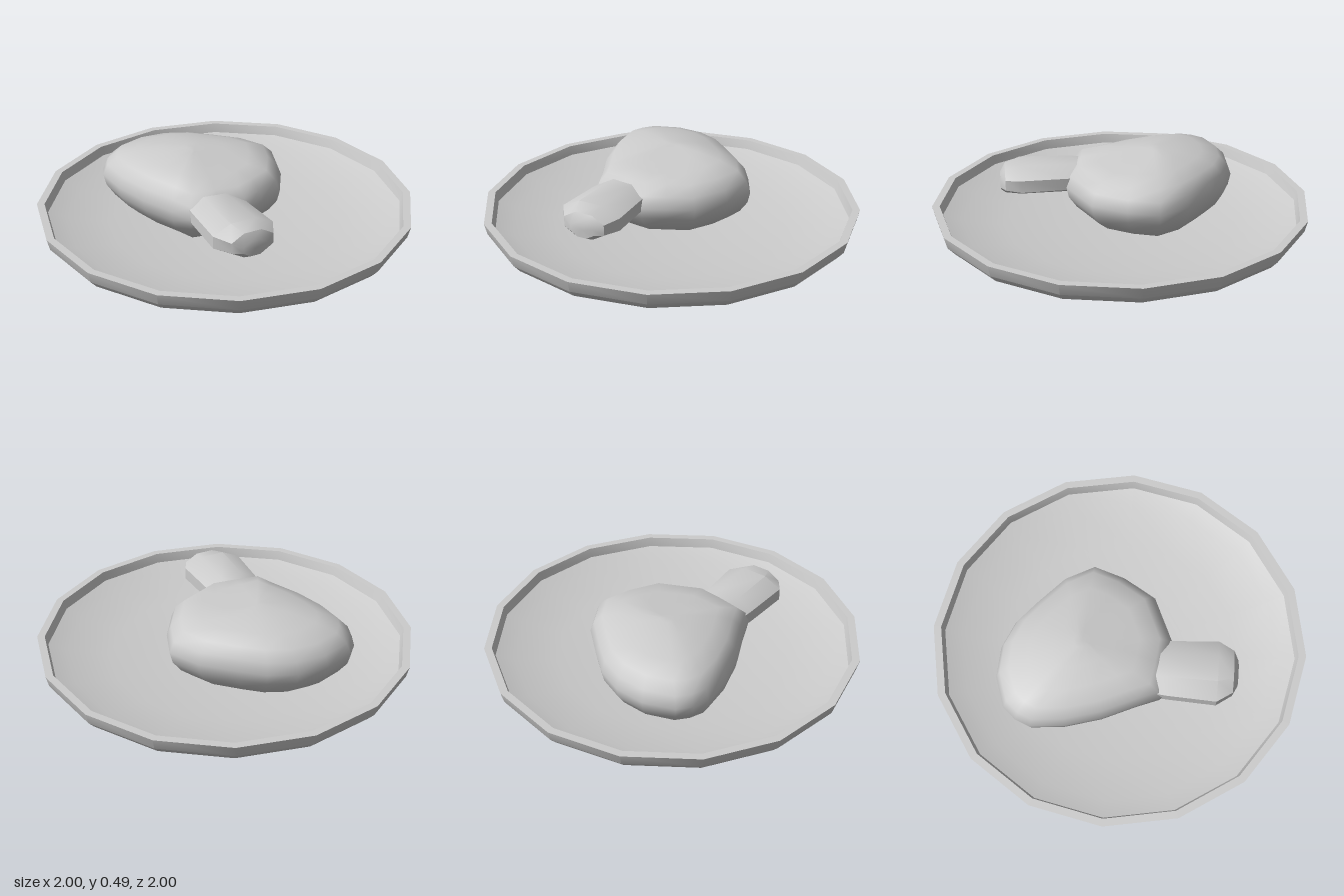
import * as THREE from 'three';
import { toCreasedNormals } from 'three/addons/utils/BufferGeometryUtils.js';

const grey = new THREE.MeshStandardMaterial({ color: 0xcccccc });

// Closed skin over a list of equal-length rings, with fanned ends
function loft(rings) {
  const n = rings[0].length;
  const points = rings.flat();
  const index = [];
  for (let i = 0; i < rings.length - 1; i++) {
    for (let j = 0; j < n; j++) {
      const k = (j + 1) % n;
      const a = i * n + j, b = i * n + k;
      index.push(a, a + n, b, b, a + n, b + n);
    }
  }
  const mean = (ring) => ring.reduce((s, p) => s.add(p), new THREE.Vector3()).divideScalar(n);
  const first = points.length, last = first + 1, top = (rings.length - 1) * n;
  points.push(mean(rings[0]), mean(rings[rings.length - 1]));
  for (let j = 0; j < n; j++) {
    const k = (j + 1) % n;
    index.push(first, j, k, last, top + k, top + j);
  }
  const g = new THREE.BufferGeometry().setFromPoints(points);
  g.setIndex(index);
  g.computeVertexNormals();
  return g;
}

// Shallow sixteen-sided dish: underside, rim, then the inner floor
function makePlate() {
  const profile = [
    [0, 0.005], [0.35, 0.018], [0.62, 0.05], [0.85, 0.1], [0.95, 0.14], [0.985, 0.18],
    [1, 0.24], [0.96, 0.24], [0.945, 0.19],
    [0.85, 0.155], [0.62, 0.115], [0.35, 0.09], [0, 0.08],
  ].map(([r, y]) => new THREE.Vector2(r, y));
  return toCreasedNormals(new THREE.LatheGeometry(profile, 16), 0.55);
}

// Rounded joint: one plan outline, scaled at each height
function makeMeat() {
  const outline = [
    [0, -0.42], [0.13, -0.31], [0.25, -0.15], [0.255, 0], [0.26, 0.13], [0.19, 0.26], [0.11, 0.39],
    [-0.02, 0.39], [-0.22, 0.4], [-0.42, 0.38], [-0.59, 0.33], [-0.65, 0.27], [-0.69, 0.19],
    [-0.68, 0.02], [-0.61, -0.13], [-0.5, -0.24], [-0.37, -0.31], [-0.18, -0.4],
  ];
  const levels = [
    [0.1, 0.55], [0.14, 0.75], [0.19, 0.88], [0.25, 0.97], [0.31, 1], [0.37, 0.95],
    [0.42, 0.84], [0.455, 0.62], [0.48, 0.34], [0.49, 0.1],
  ];
  const cx = -0.2, cz = 0.02;
  return loft(levels.map(([y, s]) => outline.map(([x, z]) => {
    const px = cx + (x - cx) * s, pz = cz + (z - cz) * s;
    // the top slopes down towards the shank
    return new THREE.Vector3(px, Math.min(y, 0.49 - 0.17 * Math.max(0, px + 0.22)), pz);
  })));
}

// Eight-sided shank with a blunt rounded end
function makeShank() {
  const sections = [ // centre x, z, half width, low y, high y
    [0.09, 0.22, 0.14, 0.25, 0.4],
    [0.185, 0.26, 0.15, 0.25, 0.405],
    [0.425, 0.355, 0.165, 0.25, 0.41],
    [0.505, 0.378, 0.115, 0.257, 0.39],
    [0.53, 0.385, 0.065, 0.27, 0.35],
  ];
  const rings = sections.map(([x, z, w, lo, hi]) => {
    const ring = [];
    for (let j = 0; j < 8; j++) {
      const a = (j + 0.5) * Math.PI / 4, c = Math.cos(Math.PI / 8);
      const side = -Math.sin(a) / c * w;
      ring.push(new THREE.Vector3(
        x - 0.37 * side, (lo + hi) / 2 + Math.cos(a) / c * (hi - lo) / 2, z + 0.93 * side));
    }
    return ring;
  });
  return toCreasedNormals(loft(rings), 0.6);
}

export function createModel() {
  const group = new THREE.Group();
  const add = (name, geometry) => {
    const mesh = new THREE.Mesh(geometry, grey);
    mesh.name = name;
    group.add(mesh);
  };
  add('plate', makePlate());
  add('meat', makeMeat());
  add('shank', makeShank());
  return group;
}
